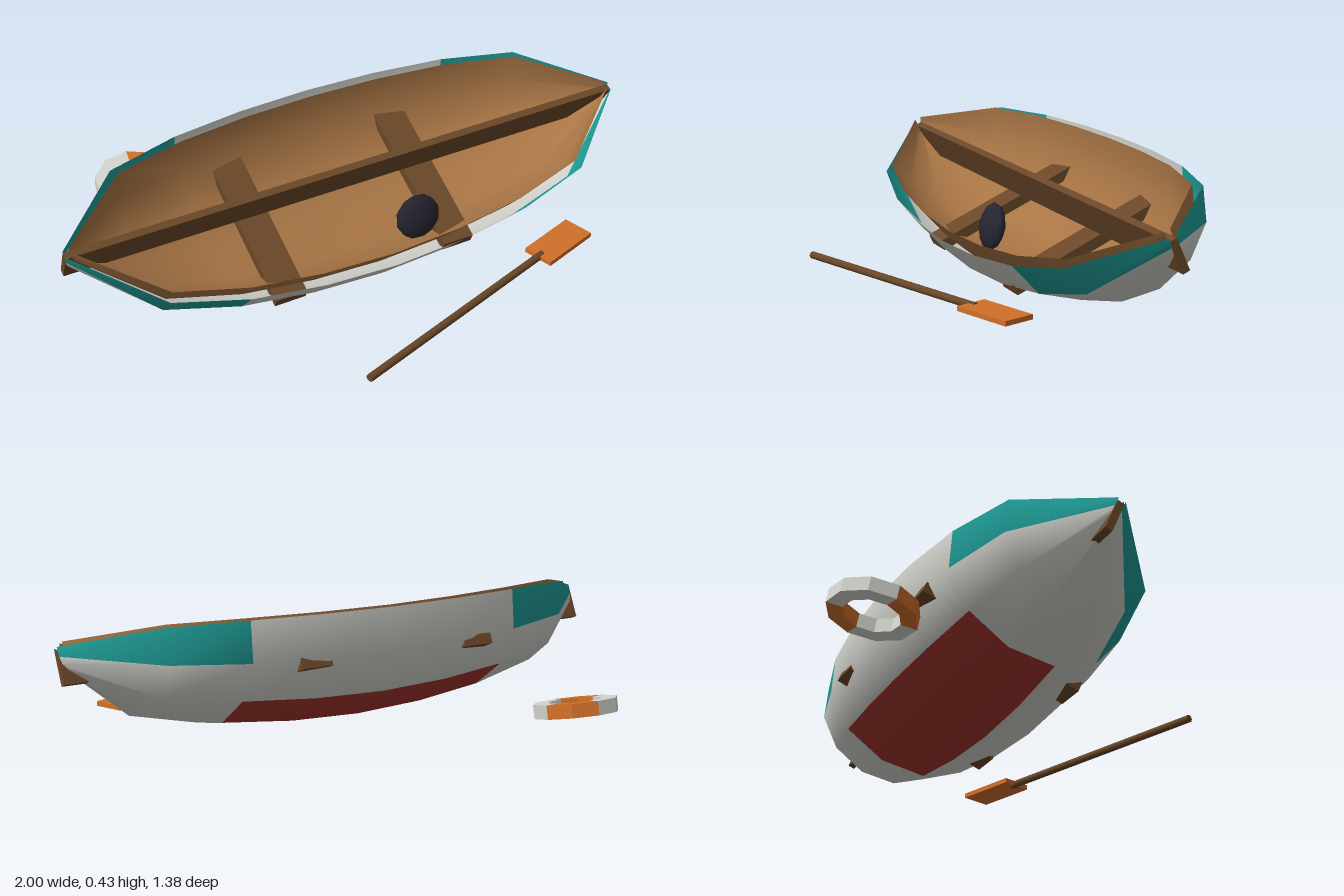
import * as THREE from 'three';

const mat = (name, color, side = THREE.FrontSide) => {
  const m = new THREE.MeshStandardMaterial({ color, side });
  m.name = name;
  return m;
};

// Stations from midship to the tip: x, half beam, depth, sheer
const half = [
  [0, 0.355, 0.27, 0],
  [0.25, 0.345, 0.265, 0.005],
  [0.5, 0.315, 0.25, 0.018],
  [0.75, 0.25, 0.217, 0.04],
  [1, 0.012, 0.06, 0.07],
];
const stations = [
  ...half.slice(1).reverse().map(([x, w, d, s]) => [-x, w, d, s]),
  ...half,
];
const ROWS = 6;

// Open half-elliptic shell lofted through the stations; pick() gives a material index per panel
function shell(sx, sw, sd, lift, pick) {
  const pos = [];
  const buckets = [[], [], []];
  for (const [x, w, d, s] of stations) {
    for (let j = 0; j <= ROWS; j++) {
      const a = (j / ROWS) * Math.PI;
      pos.push(x * sx, s + lift - d * sd * Math.sin(a), w * sw * Math.cos(a));
    }
  }
  for (let i = 0; i < stations.length - 1; i++) {
    const mid = Math.abs(stations[i][0] + stations[i + 1][0]) / 2;
    for (let j = 0; j < ROWS; j++) {
      const a = i * (ROWS + 1) + j;
      const b = a + ROWS + 1;
      buckets[pick(mid, j)].push(a, a + 1, b, b, a + 1, b + 1);
    }
  }
  const g = new THREE.BufferGeometry();
  g.setAttribute('position', new THREE.Float32BufferAttribute(pos, 3));
  g.setIndex(buckets.flat());
  let start = 0;
  buckets.forEach((b, k) => {
    if (b.length) g.addGroup(start, b.length, k);
    start += b.length;
  });
  g.computeVertexNormals();
  return g;
}

export function createModel() {
  const white = mat('white paint', 0xd6d6d0, THREE.DoubleSide);
  const teal = mat('teal paint', 0x20a09a, THREE.DoubleSide);
  const red = mat('red paint', 0xa4342c, THREE.DoubleSide);
  const plank = mat('light wood', 0xa87545, THREE.DoubleSide);
  const wood = mat('dark wood', 0x6a4828);
  const orange = mat('orange paint', 0xd2702a);
  const dark = mat('dark cloth', 0x262530);

  const model = new THREE.Group();
  const add = (parent, name, geo, m, p = [0, 0, 0], r = [0, 0, 0]) => {
    const mesh = new THREE.Mesh(geo, m);
    mesh.name = name;
    mesh.position.set(...p);
    mesh.rotation.set(...r);
    parent.add(mesh);
    return mesh;
  };

  // Boat heeled over towards the front
  const boat = new THREE.Group();
  boat.name = 'boat';
  boat.position.y = 0.289;
  boat.rotation.x = 0.42;
  model.add(boat);

  // Outer hull: teal on the upper strake at both ends, red on the bottom amidships
  const paint = (x, j) => {
    if (x > 0.5 && (j === 0 || j === ROWS - 1)) return 1;
    return x < 0.5 && (j === 2 || j === 3) ? 2 : 0;
  };
  add(boat, 'outerHull', shell(1, 1, 1, 0, paint), [white, teal, red]);
  add(boat, 'innerHull', shell(0.98, 0.9, 0.9, 0.015, () => 0), [plank]);

  // Beam along the middle and two cross seats
  add(boat, 'centreBeam', new THREE.BoxGeometry(2, 0.108, 0.024), wood, [0, 0.006, 0]);
  for (const x of [-0.33, 0.29]) {
    add(boat, 'seat', new THREE.BoxGeometry(0.11, 0.035, 0.585), wood, [x, -0.13, 0]);
  }

  // Flattened bundle leaning inside the boat
  const bundle = new THREE.IcosahedronGeometry(1, 1);
  bundle.scale(0.08, 0.078, 0.03);
  add(model, 'bundle', bundle, dark, [0.138, 0.21, 0.205], [-0.22, 0, 0.2]);

  // Oar lying in front
  const oar = new THREE.Group();
  oar.name = 'oar';
  oar.position.set(0.578, 0.064, 0.385);
  oar.rotation.y = 0.318;
  model.add(oar);
  add(oar, 'oarShaft', new THREE.CylinderGeometry(0.013, 0.013, 0.83, 8), wood, [-0.5, 0, 0], [0, 0, Math.PI / 2]);
  add(oar, 'oarBlade', new THREE.BoxGeometry(0.215, 0.016, 0.107), orange);

  // Ten-sided life ring: alternating white (3 sides) and orange (2 sides) pieces
  const ring = new THREE.Group();
  ring.name = 'lifeRing';
  ring.position.set(-0.552, 0.081, -0.555);
  ring.rotation.x = 0.2;
  model.add(ring);
  const step = Math.PI / 5;
  const segment = (first, count) => {
    const pts = [];
    const put = (r, k) => {
      const a = 0.157 + k * step;
      pts.push(new THREE.Vector2(r * Math.cos(a), r * Math.sin(a)));
    };
    for (let k = first; k <= first + count; k++) put(0.139, k);
    for (let k = first + count; k >= first; k--) put(0.088, k);
    const g = new THREE.ExtrudeGeometry(new THREE.Shape(pts), { depth: 0.046, bevelEnabled: false });
    return g.translate(0, 0, -0.023).rotateX(-Math.PI / 2);
  };
  for (const k of [0, 5]) {
    add(ring, 'ringOrangePart', segment(k, 2), orange);
    add(ring, 'ringWhitePart', segment(k + 2, 3), white);
  }

  return model;
}
